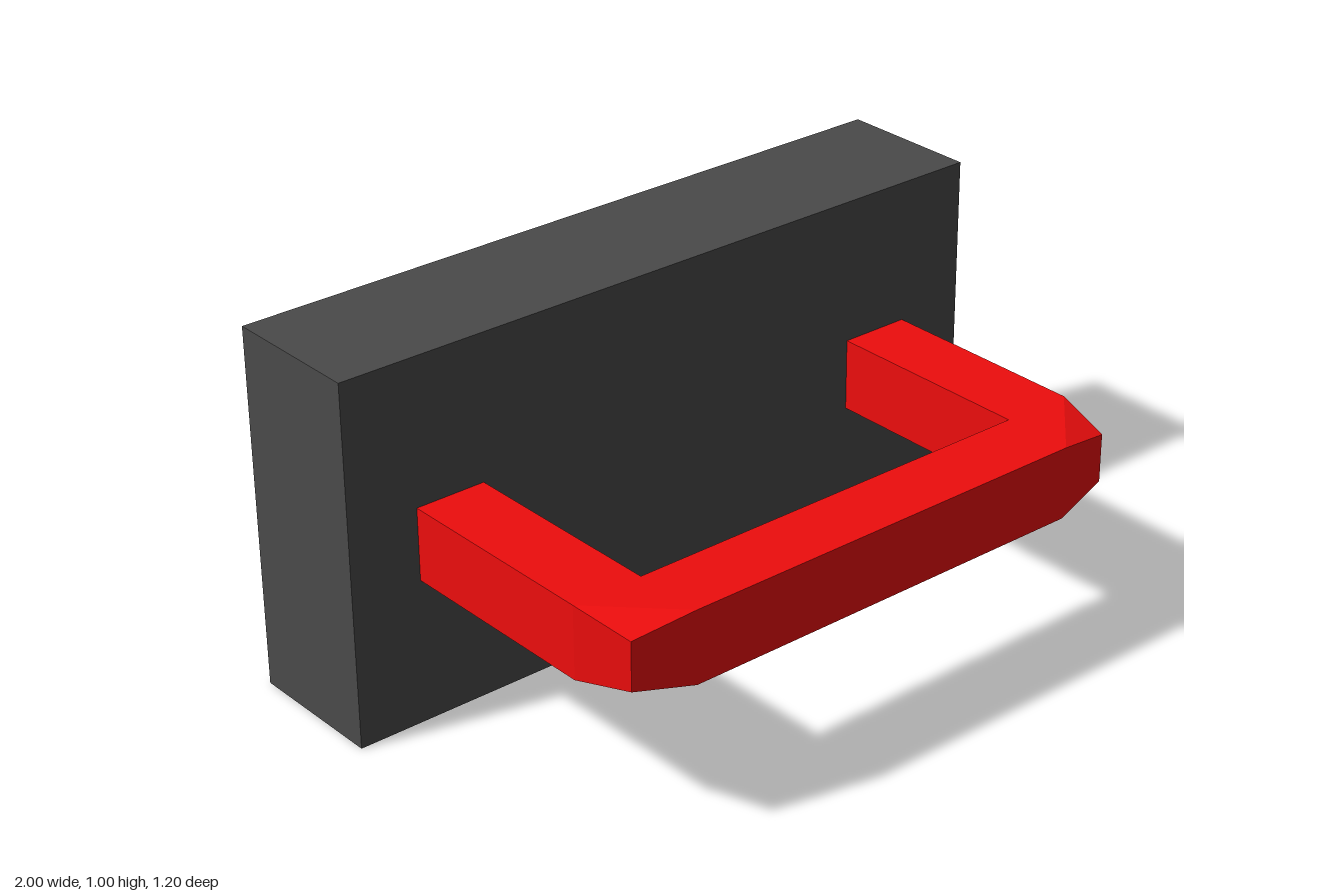
import * as THREE from 'three';
import { ConvexGeometry } from 'three/addons/geometries/ConvexGeometry.js';

export function createModel() {
  const model = new THREE.Group();
  const grey = new THREE.MeshStandardMaterial({ color: 0x4a4a4a, flatShading: true });
  const red = new THREE.MeshStandardMaterial({ color: 0xee0d0d, flatShading: true });

  const add = (parent, name, geometry, material, x = 0, y = 0, z = 0) => {
    const mesh = new THREE.Mesh(geometry, material);
    mesh.name = name;
    mesh.position.set(x, y, z);
    parent.add(mesh);
  };

  // Back plate
  add(model, 'plate', new THREE.BoxGeometry(2, 1, 0.4), grey, 0, 0.5, -0.4);

  // U-shaped handle: cross bar, two legs, two bevelled corners
  const handle = new THREE.Group();
  handle.name = 'handle';
  model.add(handle);
  add(handle, 'gripBar', new THREE.BoxGeometry(1.2, 0.2, 0.2), red, 0, 0.5, 0.5);

  for (const [side, s] of [['left', 1], ['right', -1]]) {
    add(handle, side + 'Leg', new THREE.BoxGeometry(0.2, 0.2, 0.6), red, s * 0.7, 0.5, 0.1);

    // Corner block with its outer upright edge pulled inwards
    const points = [];
    for (const v of [-1, 1]) {
      points.push(
        new THREE.Vector3(s * 0.6, 0.5 + v * 0.1, 0.4),
        new THREE.Vector3(s * 0.8, 0.5 + v * 0.1, 0.4),
        new THREE.Vector3(s * 0.6, 0.5 + v * 0.1, 0.6),
        new THREE.Vector3(s * 0.767, 0.5 + v * 0.067, 0.567)
      );
    }
    add(handle, side + 'Corner', new ConvexGeometry(points), red);
  }
  return model;
}
